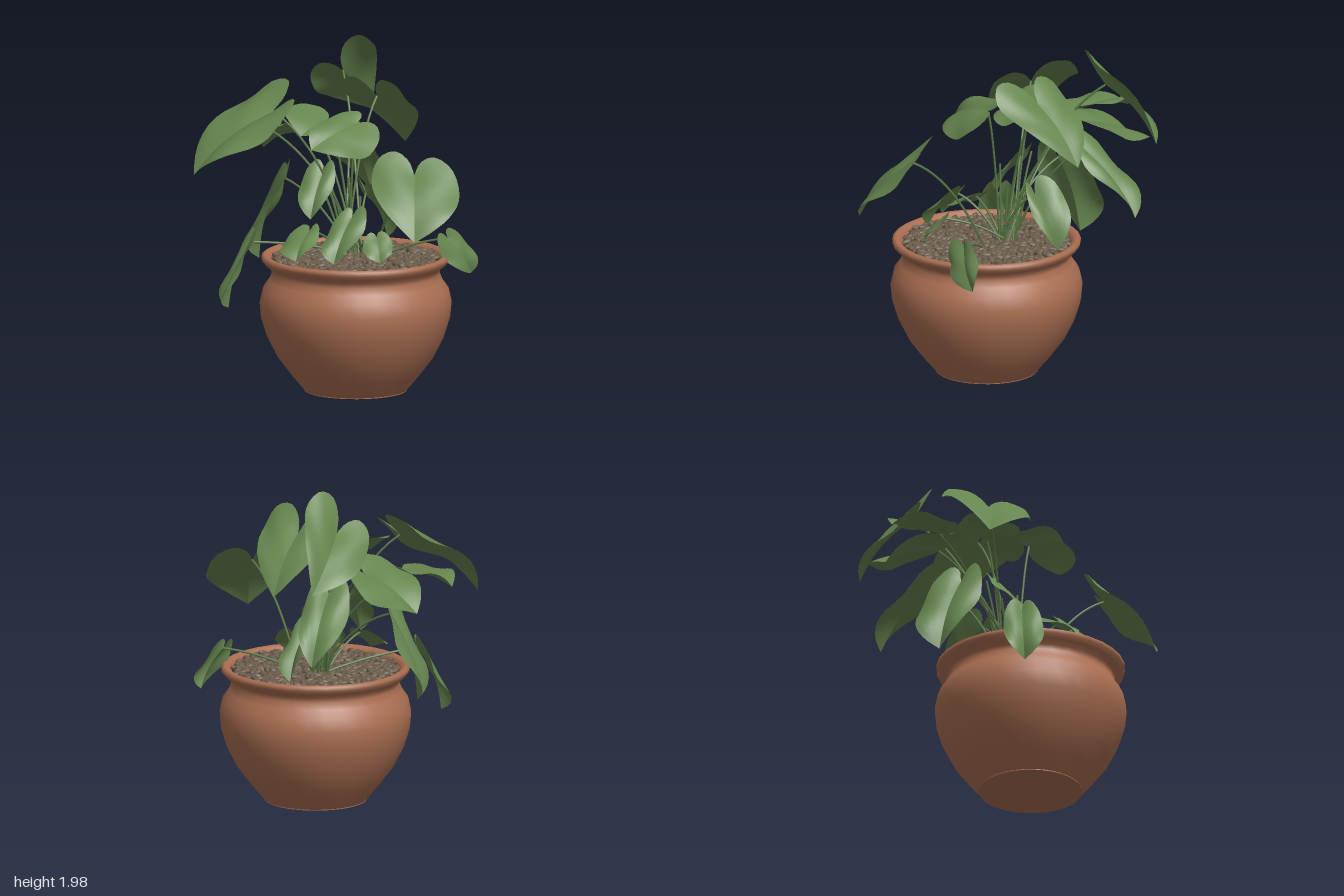
import * as THREE from 'three';
import { mergeGeometries } from 'three/addons/utils/BufferGeometryUtils.js';

const material = (name, color, side = THREE.FrontSide) => {
  const m = new THREE.MeshStandardMaterial({ color, side });
  m.name = name;
  return m;
};
const V = (p) => new THREE.Vector3(...p);

// Half heart outline: x = across (1 = widest), y = along (0 = stalk, 1 = tip)
const HALF_HEART = new THREE.CatmullRomCurve3(
  [[0, 0], [0.12, -0.18], [0.44, -0.3], [0.82, -0.19], [1, 0.06], [0.98, 0.33], [0.78, 0.6], [0.4, 0.84], [0, 1]]
    .map(([u, v]) => new THREE.Vector3(u, v, 0)));

// Heart-shaped blade spanned by stalk point, tip and the two side points
function leafGeometry(base, tip, sideA, sideB) {
  const N = 20, M = 5;
  const axis = tip.clone().sub(base);
  const across = [sideA, sideB].map((s) => s.clone().sub(base));
  const normal = across[0].clone().sub(across[1]).cross(axis).normalize();
  if (normal.y < 0) normal.negate();
  const positions = [], index = [];
  across.forEach((side) => {
    const start = positions.length / 3;
    const up = side.clone().cross(axis).dot(normal) > 0;
    for (let i = 0; i <= N; i++) {
      const o = HALF_HEART.getPoint(i / N);
      for (let j = 0; j <= M; j++) {
        const s = j / M;
        const u = o.x * s, v = THREE.MathUtils.lerp(i / N, o.y, s);
        const bulge = 0.08 * Math.sin(Math.PI * Math.max(v, 0))
          + 0.05 * Math.sin(Math.PI * u) + 0.025 * Math.sin(9 * v + 3 * u) * u;
        const p = base.clone().addScaledVector(axis, v).addScaledVector(side, u)
          .addScaledVector(normal, bulge * axis.length());
        positions.push(p.x, p.y, p.z);
        if (i < N && j < M) {
          const a = start + i * (M + 1) + j, b = a + 1, c = a + M + 1, d = c + 1;
          if (up) index.push(a, b, c, b, d, c);
          else index.push(a, c, b, b, c, d);
        }
      }
    }
  });
  const g = new THREE.BufferGeometry();
  g.setAttribute('position', new THREE.Float32BufferAttribute(positions, 3));
  g.setIndex(index);
  g.computeVertexNormals();
  return g;
}

// Each leaf: stalk point, tip, two side points, optional root
const LEAVES = {
  topBackLeaf: [[-0.2, 1.75, -0.4], [-0.16, 1.46, -0.77], [-0.04, 1.95, -0.4], [-0.38, 1.66, -0.36]],
  backRightLeaf: [[0.11, 1.67, -0.13], [0.17, 1.35, -0.44], [0.33, 1.72, 0.03], [-0.11, 1.7, -0.14]],
  largeLeftLeaf: [[-0.4, 1.61, 0.23], [-0.8, 1.25, 0.47], [-0.56, 1.68, 0.01], [-0.31, 1.52, 0.46]],
  backLeftLeaf: [[-0.3, 1.46, -0.16], [-0.66, 1.28, -0.31], [-0.36, 1.38, -0.42], [-0.41, 1.49, 0.01]],
  hangingBackLeaf: [[-0.12, 1.36, -0.3], [-0.12, 1, -0.65], [0, 1.32, -0.36], [-0.27, 1.3, -0.36]],
  farLeftLeaf: [[-0.52, 1.45, -0.03], [-0.83, 1.42, -0.17], [-0.57, 1.49, -0.19], [-0.62, 1.46, 0.1]],
  topFrontLeaf: [[0.11, 1.57, 0.21], [-0.05, 1.46, 0.53], [0.25, 1.42, 0.31], [-0.04, 1.6, 0.24]],
  topCentreLeaf: [[-0.12, 1.55, 0.06], [-0.2, 1.49, 0.3], [-0.34, 1.62, 0.07], [0.11, 1.5, 0.08]],
  largeRightLeaf: [[0.56, 1.34, 0.45], [0.67, 1, 0.74], [0.81, 1.29, 0.38], [0.32, 1.36, 0.51], [0.2, 0.76, 0.17]],
  lowRightLeaf: [[0.62, 0.9, 0.06], [0.72, 0.68, -0.06], [0.67, 0.88, -0.06], [0.61, 0.83, 0.17], [0.2, 0.76, 0.17]],
  lowLeftLeaf: [[-0.43, 0.88, 0.47], [-0.55, 0.5, 0.56], [-0.54, 0.78, 0.41], [-0.44, 0.76, 0.62]],
  sideLeftLeaf: [[-0.39, 1.18, 0.04], [-0.57, 0.69, 0], [-0.43, 1.08, 0.21], [-0.47, 1.08, -0.15]],
  innerFrontLeaf: [[-0.13, 1.25, 0.12], [-0.14, 1, 0.3], [-0.04, 1.22, 0.15], [-0.24, 1.22, 0.15]],
  lowFrontLeaf: [[0.15, 1.05, 0.39], [0.12, 0.81, 0.61], [0.26, 1.02, 0.44], [0.04, 0.98, 0.46]],
  smallFrontLeftLeaf: [[-0.1, 0.96, 0.42], [-0.1, 0.82, 0.65], [-0.02, 0.93, 0.48], [-0.23, 0.9, 0.47]],
  smallFrontRightLeaf: [[0.3, 0.94, 0.38], [0.36, 0.81, 0.48], [0.39, 0.92, 0.37], [0.24, 0.9, 0.45]],
  innerBackLeaf: [[0.06, 1.1, -0.08], [0.12, 0.81, -0.27], [0.16, 1.05, -0.1], [-0.03, 1.12, -0.2]],
};

export function createModel() {
  const terracotta = material('terracotta', 0xab6f52);
  const soilBrown = material('dark soil', 0x3a3229);
  const pebbleBrown = material('pebble brown', 0x6a5b4a);
  const leafGreen = material('leaf green', 0x66854f, THREE.DoubleSide);
  const stemGreen = material('stem green', 0x5a7845);

  const model = new THREE.Group();
  const add = (parent, name, geometry, mat) => {
    const mesh = new THREE.Mesh(geometry, mat);
    mesh.name = name;
    parent.add(mesh);
    return mesh;
  };

  // Pot, with rolled rim and inner wall
  const pot = new THREE.Group();
  pot.name = 'pot';
  pot.position.set(0.11, 0, 0.22);
  model.add(pot);
  const profile = [[0.3, 0.005], [0.38, 0.1], [0.455, 0.2], [0.516, 0.32], [0.55, 0.43], [0.558, 0.52], [0.54, 0.6],
    [0.504, 0.65], [0.488, 0.69], [0.492, 0.72], [0.525, 0.745], [0.547, 0.77], [0.548, 0.793],
    [0.53, 0.803], [0.505, 0.795], [0.488, 0.77], [0.48, 0.72]].map(([r, y]) => new THREE.Vector2(r, y));
  add(pot, 'potBody', new THREE.LatheGeometry(profile, 32), terracotta);
  add(pot, 'potBase', new THREE.CylinderGeometry(0.3, 0.3, 0.01, 32), terracotta).position.y = 0.005;
  add(pot, 'soil', new THREE.CylinderGeometry(0.487, 0.487, 0.02, 32), soilBrown).position.y = 0.755;

  // Pebbles scattered in a spiral
  let seed = 7;
  const rand = () => (seed = (seed * 16807) % 2147483647) / 2147483647;
  const pebbles = [];
  const COUNT = 620;
  for (let i = 0; i < COUNT; i++) {
    const r = 0.47 * Math.sqrt((i + 0.5) / COUNT), a = i * 2.39996 + rand() * 0.06;
    const g = new THREE.SphereGeometry(1, 8, 6);
    g.scale(0.027 + rand() * 0.012, 0.013 + rand() * 0.006, 0.015 + rand() * 0.007);
    g.rotateZ((rand() - 0.5) * 0.8);
    g.rotateY(rand() * Math.PI);
    g.translate(r * Math.cos(a), 0.77 + rand() * 0.016, r * Math.sin(a));
    pebbles.push(g);
  }
  add(pot, 'pebbles', mergeGeometries(pebbles), pebbleBrown);

  // Leaves, each on an arching stem
  const plant = new THREE.Group();
  plant.name = 'plant';
  model.add(plant);
  Object.entries(LEAVES).forEach(([name, [b, t, s1, s2, rootPoint]], i) => {
    const base = V(b);
    add(plant, name, leafGeometry(base, V(t), V(s1), V(s2)), leafGreen);
    const root = rootPoint ? V(rootPoint)
      : new THREE.Vector3(0.06 + 0.05 * Math.cos(i * 2.4), 0.76, 0.12 + 0.05 * Math.sin(i * 2.4));
    const bend = root.clone().lerp(base, 0.45);
    bend.y = root.y + (base.y - root.y) * 0.8;
    const path = new THREE.QuadraticBezierCurve3(root, bend, base);
    add(plant, name + 'Stem', new THREE.TubeGeometry(path, 14, 0.007, 6), stemGreen);
  });

  // Bare young shoots at the centre
  for (let i = 0; i < 5; i++) {
    const a = i * 2.4, root = new THREE.Vector3(0.05 + 0.04 * Math.cos(a), 0.76, 0.11 + 0.04 * Math.sin(a));
    const top = new THREE.Vector3(-0.03 + 0.12 * Math.cos(a), 1.12 + 0.04 * i, 0.09 + 0.1 * Math.sin(a));
    const mid = root.clone().lerp(top, 0.5).add(new THREE.Vector3(0, 0.04, 0));
    add(plant, 'shoot', new THREE.TubeGeometry(new THREE.QuadraticBezierCurve3(root, mid, top), 8, 0.007, 6), stemGreen);
  }
  return model;
}
